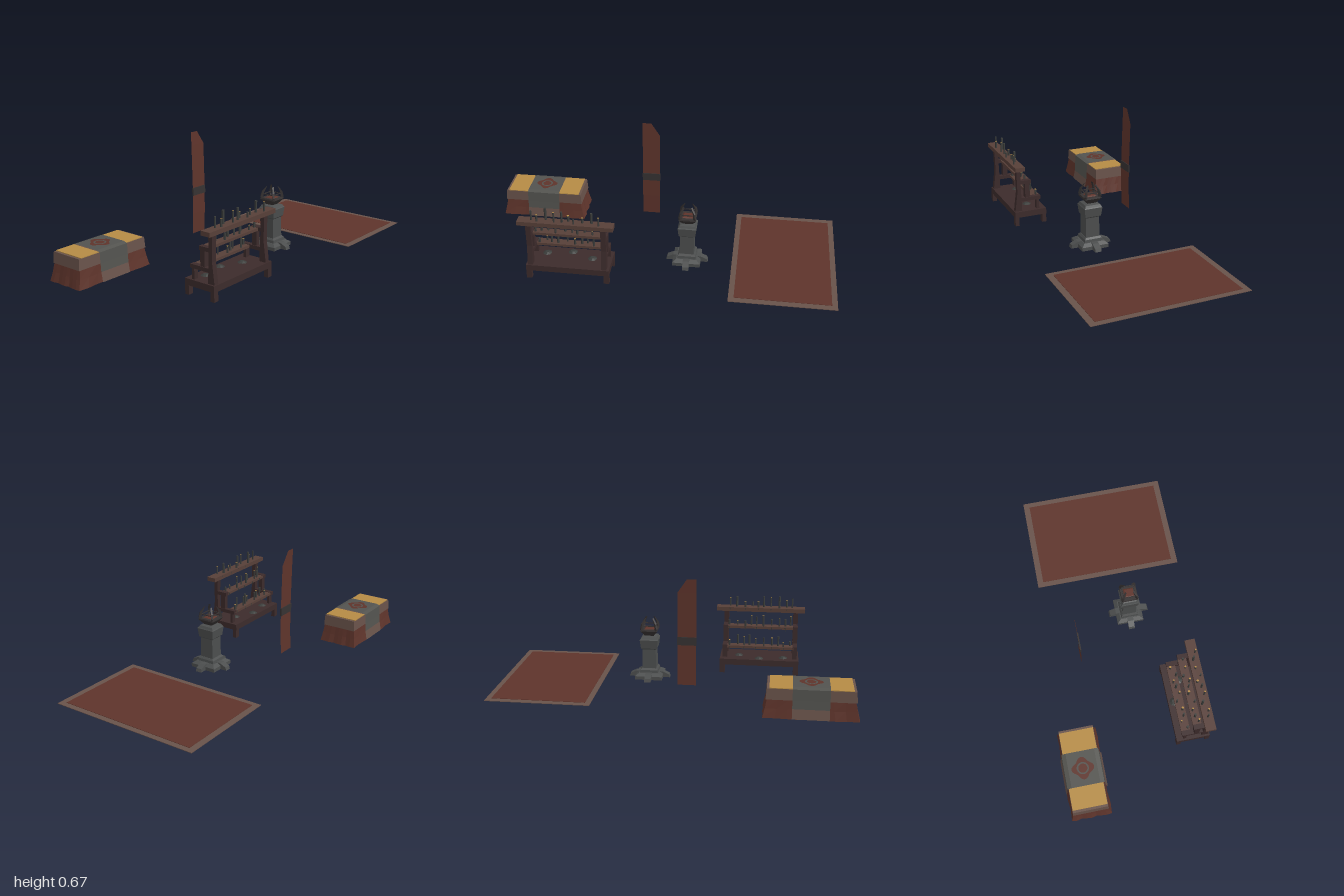
import * as THREE from 'three';

const mat = (name, color, side = THREE.FrontSide) => {
  const m = new THREE.MeshStandardMaterial({ color, side, flatShading: true });
  m.name = name;
  return m;
};
const M = {
  wood: mat('dark wood', 0x3c2b2b),
  plank: mat('plank wood', 0x573f38),
  stone: mat('stone', 0x4c4e4e),
  iron: mat('iron', 0x363232),
  wax: mat('dark wax', 0x3b3d3b),
  red: mat('red cloth', 0x5e342b, THREE.DoubleSide),
  trim: mat('trim cloth', 0x68524a, THREE.DoubleSide),
  grey: mat('grey cloth', 0x53534f, THREE.DoubleSide),
  gold: mat('gold', 0xb58b45, THREE.DoubleSide),
};

function add(parent, name, geo, material, x = 0, y = 0, z = 0) {
  const m = new THREE.Mesh(geo, material);
  m.name = name;
  m.position.set(x, y, z);
  parent.add(m);
  return m;
}

// box given by its min and max on each axis
function box(parent, name, material, x0, x1, y0, y1, z0, z1) {
  return add(parent, name, new THREE.BoxGeometry(x1 - x0, y1 - y0, z1 - z0), material,
    (x0 + x1) / 2, (y0 + y1) / 2, (z0 + z1) / 2);
}

function fromTriangles(pos) {
  const g = new THREE.BufferGeometry();
  g.setAttribute('position', new THREE.Float32BufferAttribute(pos, 3));
  g.computeVertexNormals();
  return g;
}

// rectangular cross-sections [y, halfX, halfZ, ripple] joined from bottom to top
function loft(rows, seg = 1, cap = true) {
  const corners = [[-1, 1], [1, 1], [1, -1], [-1, -1]];
  const rings = rows.map(([y, hx, hz, ripple = 0]) => {
    const ring = [];
    for (let c = 0; c < 4; c++) {
      for (let s = 0; s < seg; s++) {
        const a = corners[c], b = corners[(c + 1) % 4], t = s / seg;
        const i = c * seg + s, w = s ? ripple * Math.sin(i * 2.1) : 0;
        const u = a[0] + (b[0] - a[0]) * t, v = a[1] + (b[1] - a[1]) * t;
        ring.push([u * (hx + w), y, v * (hz + w)]);
      }
    }
    return ring;
  });
  const pos = [], n = 4 * seg;
  for (let r = 0; r < rings.length - 1; r++) {
    for (let i = 0; i < n; i++) {
      const j = (i + 1) % n;
      const a = rings[r][i], b = rings[r][j], c = rings[r + 1][j], d = rings[r + 1][i];
      pos.push(...a, ...b, ...c, ...a, ...c, ...d);
    }
  }
  if (cap) {
    const top = rings[rings.length - 1];
    for (let i = 0; i < n; i++) pos.push(0, top[0][1], 0, ...top[i], ...top[(i + 1) % n]);
  }
  return fromTriangles(pos);
}

// cloth strip through rows [z, y, x0, x1]
function ribbon(rows) {
  const pos = [];
  for (let i = 0; i < rows.length - 1; i++) {
    const [z, y, l, r] = rows[i], [Z, Y, L, R] = rows[i + 1];
    pos.push(l, y, z, r, y, z, R, Y, Z, l, y, z, R, Y, Z, L, Y, Z);
  }
  return fromTriangles(pos);
}

function polygon(points) {
  return new THREE.Shape(points.map(p => new THREE.Vector2(p[0], p[1])));
}

function makeRug() {
  const g = new THREE.Group();
  g.name = 'rug';
  box(g, 'rugBorder', M.trim, 0.42, 1, 0, 0.003, -0.41, 0.46);
  box(g, 'rugField', M.red, 0.45, 0.97, 0.003, 0.005, -0.375, 0.425);
  return g;
}

function makeChest() {
  const g = new THREE.Group();
  g.name = 'drapedChest';
  g.position.set(-0.748, 0, -0.345);
  add(g, 'skirt', loft([[0, 0.248, 0.113, 0.004], [0.05, 0.236, 0.104, 0.002], [0.1, 0.226, 0.098]], 8, false), M.red);
  add(g, 'lid', loft([[0.098, 0.233, 0.1], [0.158, 0.228, 0.097]], 1), M.trim);
  for (const s of [-1, 1]) {
    box(g, 'goldPanel', M.gold, s * 0.155 - 0.06, s * 0.155 + 0.06, 0.158, 0.162, -0.096, 0.096);
  }
  // central runner hanging over both long sides
  const w = 0.096;
  const over = [[0.109, 0.055], [0.106, 0.1], [0.103, 0.16], [0.08, 0.167], [-0.08, 0.167],
    [-0.103, 0.16], [-0.106, 0.1], [-0.109, 0.055]];
  add(g, 'runner', ribbon(over.map(([z, y]) => [z, y, -w, w])), M.grey);
  for (const s of [-1, 1]) {
    add(g, 'runnerHem', ribbon([[s * 0.119, 0.002, -w, w], [s * 0.109, 0.055, -w, w]]), M.trim);
  }
  add(g, 'lining', ribbon([[0.106, 0.002, -0.07, 0.05], [0.09, 0.1, -0.07, 0.05]]), M.gold);
  // emblem: scalloped ring around a disc
  const pts = [];
  for (let i = 0; i < 32; i++) {
    const a = i / 32 * Math.PI * 2, r = 0.055 + 0.008 * Math.cos(a * 4);
    pts.push([r * Math.cos(a), r * Math.sin(a)]);
  }
  const ring = polygon(pts);
  ring.holes.push(new THREE.Path().absarc(0, 0, 0.034, 0, Math.PI * 2, true));
  add(g, 'emblemRing', new THREE.ShapeGeometry(ring, 8), M.red, 0, 0.169, 0).rotation.x = -Math.PI / 2;
  add(g, 'emblemDisc', new THREE.CircleGeometry(0.025, 16), M.red, 0, 0.169, 0).rotation.x = -Math.PI / 2;
  return g;
}

function makeCandleRack() {
  const g = new THREE.Group();
  g.name = 'candleRack';
  box(g, 'base', M.wood, -0.69, -0.23, 0.05, 0.085, 0.202, 0.392);
  for (const x of [-0.69, -0.26]) {
    box(g, 'leg', M.wood, x, x + 0.03, 0, 0.05, 0.203, 0.227);
    box(g, 'leg', M.wood, x, x + 0.03, 0, 0.05, 0.368, 0.392);
  }
  // side frames
  const post = polygon([[0.345, 0.085], [0.386, 0.085], [0.371, 0.2], [0.374, 0.34], [0.347, 0.34], [0.351, 0.27]]);
  for (const x of [-0.68, -0.272]) {
    const geo = new THREE.ExtrudeGeometry(post, { depth: 0.028, bevelEnabled: false });
    geo.rotateY(-Math.PI / 2);
    add(g, 'tallPost', geo, M.wood, x + 0.028);
    box(g, 'middlePost', M.wood, x, x + 0.028, 0.165, 0.247, 0.296, 0.324);
    box(g, 'shortPost', M.wood, x, x + 0.028, 0.085, 0.142, 0.24, 0.256);
    box(g, 'middleBracket', M.wood, x, x + 0.028, 0.247, 0.268, 0.288, 0.352);
    box(g, 'lowBracket', M.wood, x, x + 0.028, 0.142, 0.163, 0.23, 0.352);
  }
  box(g, 'topShelf', M.plank, -0.72, -0.2, 0.34, 0.364, 0.336, 0.393);
  box(g, 'middleShelf', M.plank, -0.66, -0.262, 0.25, 0.265, 0.288, 0.336);
  box(g, 'lowShelf', M.plank, -0.66, -0.262, 0.145, 0.16, 0.23, 0.28);
  // candles, some with a bright top
  const heights = [0.058, 0.03, 0.065, 0.04, 0.062, 0.034, 0.07, 0.05, 0.028, 0.06];
  const shelves = [[0.364, 0.363], [0.265, 0.311], [0.16, 0.256]];
  shelves.forEach(([y, z], row) => {
    for (let i = 0; i < 10; i++) {
      const h = heights[(i * 3 + row * 4) % 10] * (row ? 0.9 : 1);
      const r = 0.005 + 0.002 * ((i + row) % 3) / 2;
      const top = (i + row) % 2 ? M.gold : M.wax;
      const x = -0.645 + i * 0.04 + 0.008 * Math.sin(i * 5 + row);
      add(g, 'candle', new THREE.CylinderGeometry(r, r, h, 6), [M.wax, top, M.wax], x, y + h / 2, z + 0.014 * Math.sin(i * 2.3 + row));
      if (i % 2) add(g, 'waxDrip', new THREE.CylinderGeometry(0.004, 0.001, 0.02, 5), M.wax, x, y - 0.013, z - 0.025);
    }
  });
  // melted wax on the base
  for (const [x, z] of [[-0.6, 0.26], [-0.46, 0.235], [-0.34, 0.285]]) {
    add(g, 'waxPool', new THREE.CylinderGeometry(0.012, 0.026, 0.008, 8), M.wax, x, 0.089, z);
  }
  return g;
}

function makeBanner() {
  const g = new THREE.Group();
  g.name = 'banner';
  const l = -0.135, r = -0.034;
  add(g, 'bannerCloth', ribbon([[-0.241, 0.08, l, r], [-0.237, 0.2, l, r], [-0.236, 0.33, l, r], [-0.239, 0.47, l, r],
    [-0.242, 0.595, l, r], [-0.245, 0.67, l, -0.085]]), M.red);
  box(g, 'bannerBand', M.iron, l - 0.001, r + 0.001, 0.305, 0.35, -0.2405, -0.2325);
  return g;
}

function makeBrazier() {
  const g = new THREE.Group();
  g.name = 'brazier';
  g.position.set(0.167, 0, 0.097);
  const sq = rows => loft(rows.map(([y, h]) => [y, h, h]));
  add(g, 'plinth', sq([[0, 0.078], [0.02, 0.078], [0.035, 0.058], [0.035, 0.052], [0.05, 0.05], [0.06, 0.042]]), M.stone);
  add(g, 'shaft', sq([[0.055, 0.04], [0.18, 0.038]]), M.stone);
  add(g, 'capital', sq([[0.172, 0.038], [0.18, 0.046], [0.23, 0.052], [0.235, 0.048], [0.246, 0.042], [0.252, 0.024]]), M.stone);
  add(g, 'bowl', sq([[0.25, 0.024], [0.258, 0.03], [0.282, 0.048], [0.29, 0.046]]), M.iron);
  add(g, 'embers', sq([[0.289, 0.03], [0.294, 0.022]]), M.red);
  const foot = polygon([[0.03, 0], [0.118, 0], [0.112, 0.018], [0.078, 0.034], [0.03, 0.038]]);
  const claw = polygon([[0.045, 0.28], [0.062, 0.28], [0.066, 0.298], [0.058, 0.325], [0.03, 0.356], [0.046, 0.322], [0.05, 0.3]]);
  for (let k = 0; k < 4; k++) {
    const a = k * Math.PI / 2;
    const f = new THREE.ExtrudeGeometry(foot, { depth: 0.036, bevelEnabled: false });
    f.translate(0, 0, -0.018);
    add(g, 'foot', f, M.stone).rotation.y = a;
    const c = new THREE.ExtrudeGeometry(claw, { depth: 0.01, bevelEnabled: false });
    c.translate(0, 0, -0.005);
    add(g, 'claw', c, M.iron).rotation.y = a + Math.PI / 4;
    const bar = new THREE.BoxGeometry(0.004, 0.005, 0.07);
    bar.translate(0.034, 0.311, 0);
    add(g, 'bar', bar, M.iron).rotation.y = a;
  }
  return g;
}

export function createModel() {
  const model = new THREE.Group();
  model.name = 'shrineFurnishings';
  model.add(makeRug(), makeChest(), makeCandleRack(), makeBanner(), makeBrazier());
  return model;
}
